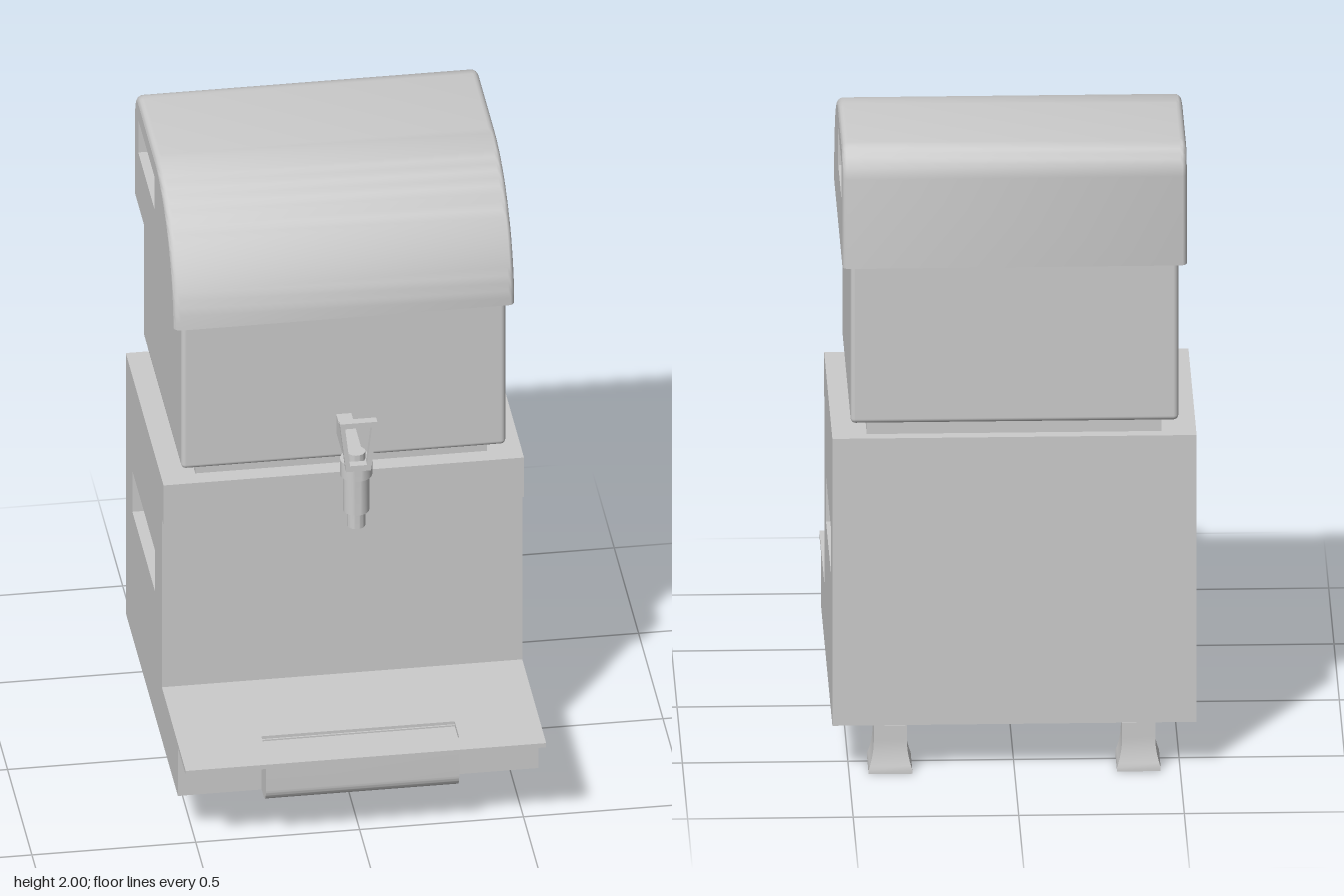
import * as THREE from 'three';
import { toCreasedNormals } from 'three/addons/utils/BufferGeometryUtils.js';
import { RoundedBoxGeometry } from 'three/addons/geometries/RoundedBoxGeometry.js';

const material = new THREE.MeshStandardMaterial({ color: 0xcccccc });

export function createModel() {
  const model = new THREE.Group();

  const add = (name, geometry, x = 0, y = 0, z = 0, parent = model) => {
    const mesh = new THREE.Mesh(geometry, material);
    mesh.name = name;
    mesh.position.set(x, y, z);
    parent.add(mesh);
    return mesh;
  };
  // Box given by its limits on each axis
  const box = (name, x0, x1, y0, y1, z0, z1, parent) =>
    add(name, new THREE.BoxGeometry(x1 - x0, y1 - y0, z1 - z0),
      (x0 + x1) / 2, (y0 + y1) / 2, (z0 + z1) / 2, parent);
  const polygon = (pts) => new THREE.Shape(pts.map(([a, b]) => new THREE.Vector2(a, b)));
  const rect = (a0, a1, b0, b1) => polygon([[a0, b0], [a1, b0], [a1, b1], [a0, b1]]);
  const extrude = (shape, depth) =>
    new THREE.ExtrudeGeometry(shape, { depth, bevelEnabled: false, curveSegments: 10 });
  // Side profile drawn in (z, y), extruded across x and centred
  const across = (shape, width) =>
    extrude(shape, width).rotateY(-Math.PI / 2).translate(width / 2, 0, 0);

  // Cabinet with overhanging top band, front foot and recessed side grips
  const side = polygon([[-0.6, 0.15], [0.47, 0.15], [0.47, 0.325], [0.14, 0.325],
    [0.14, 0.93], [0.175, 0.93], [0.175, 1.07], [-0.6, 1.07]]);
  side.holes.push(rect(-0.465, 0, 0.59, 0.735));
  add('cabinet', across(side, 1.1));
  box('cabinetGripFloor', -0.51, 0.51, 0.59, 0.735, -0.465, 0);

  // Drip tray: slotted plate over a catch box with a rounded lower edge
  const plate = rect(-0.55, 0.55, -0.63, -0.14);
  plate.holes.push(rect(-0.295, 0.295, -0.56, -0.465));
  add('trayPlate', extrude(plate, 0.015).rotateX(-Math.PI / 2), 0, 0.32, 0);
  const catchShape = new THREE.Shape();
  catchShape.moveTo(0.44, 0.152);
  catchShape.lineTo(0.51, 0.152);
  catchShape.absarc(0.513, 0.2, 0.048, -Math.PI / 2, 0, false);
  catchShape.lineTo(0.561, 0.32);
  catchShape.lineTo(0.44, 0.32);
  add('catchBox', toCreasedNormals(across(catchShape, 0.59), 0.6));

  // Four flared feet
  const footGeometry = new THREE.BoxGeometry(2, 0.15, 2, 1, 12, 1);
  const p = footGeometry.attributes.position;
  for (let i = 0; i < p.count; i++) {
    const y = p.getY(i) + 0.075;
    const flare = 0.016 * Math.pow(1 - Math.min(1, Math.max(0, (y - 0.012) / 0.09)), 2);
    p.setXYZ(i, p.getX(i) * (0.05 + flare), y, p.getZ(i) * (0.064 + flare));
  }
  const footSmooth = toCreasedNormals(footGeometry, 0.6);
  for (const x of [-0.375, 0.375])
    for (const z of [0.075, -0.538]) add('foot', footSmooth, x, 0, z);

  // Neck and tank
  box('neck', -0.445, 0.445, 1.06, 1.13, -0.56, 0.12);
  add('tank', new RoundedBoxGeometry(0.99, 0.56, 0.785, 3, 0.015), 0, 1.4, -0.217);

  // Curved lid: profile in (z, y), inset by d for the rounded side edges
  const lidProfile = (d) => {
    const pts = [], n = 24, m = 8;
    for (let i = 0; i <= n; i++) {
      const a = (i / n) * Math.PI / 2;
      pts.push([-0.22 + (0.415 - d) * Math.cos(a), 1.625 + (0.375 - d) * Math.sin(a)]);
    }
    for (let i = 0; i <= m; i++) {
      const a = Math.PI / 2 * (1 + i / m);
      pts.push([-0.54 + (0.09 - d) * Math.cos(a), 1.91 + (0.09 - d) * Math.sin(a)]);
    }
    pts.push([-0.63 + d, 1.625]);
    return pts;
  };
  const radius = 0.02, steps = 4, rings = [];
  for (let i = -steps; i <= steps; i++) {
    const a = (Math.abs(i) / steps) * Math.PI / 2;
    const x = 0.5 + radius * Math.sin(a), d = radius * (1 - Math.cos(a));
    if (i <= 0) rings.push({ x: -x, pts: lidProfile(d) });
    if (i >= 0) rings.push({ x, pts: lidProfile(d) });
  }
  const count = rings[0].pts.length, positions = [], indices = [];
  for (const ring of rings) for (const [z, y] of ring.pts) positions.push(ring.x, y, z);
  for (let i = 0; i < rings.length - 1; i++)
    for (let j = 0; j < count; j++) {
      const k = (j + 1) % count, r0 = i * count, r1 = r0 + count;
      indices.push(r1 + j, r1 + k, r0 + k, r1 + j, r0 + k, r0 + j);
    }
  const shell = new THREE.BufferGeometry();
  shell.setAttribute('position', new THREE.Float32BufferAttribute(positions, 3));
  shell.setIndex(indices);
  const lid = new THREE.Group();
  lid.name = 'lid';
  model.add(lid);
  add('lidShell', toCreasedNormals(shell, 0.7), 0, 0, 0, lid);
  const lidSide = polygon(lidProfile(radius));
  lidSide.holes.push(rect(-0.545, -0.215, 1.81, 1.925));
  add('lidSides', across(lidSide, 1.04), 0, 0, 0, lid);
  box('lidGripFloor', -0.49, 0.49, 1.81, 1.925, -0.545, -0.215, lid);

  // Tap: arm, stacked round body and a tapered loop handle
  const tap = new THREE.Group();
  tap.name = 'tap';
  model.add(tap);
  box('tapArm', -0.023, 0.023, 1.21, 1.275, 0.16, 0.42, tap);
  const profile = [[0, 1.035], [0.028, 1.035], [0.028, 1.09], [0.04, 1.09], [0.04, 1.215],
    [0.049, 1.215], [0.049, 1.27], [0.028, 1.27], [0.028, 1.295], [0, 1.295]];
  const body = new THREE.LatheGeometry(profile.map(([r, y]) => new THREE.Vector2(r, y)), 32);
  add('tapBody', toCreasedNormals(body, 0.6), 0, 0, 0.427, tap);
  const handle = polygon([[-0.038, 1.255], [0.038, 1.255], [0.057, 1.425], [-0.057, 1.425]]);
  handle.holes.push(polygon([[-0.026, 1.275], [0.026, 1.275], [0.041, 1.407], [-0.041, 1.407]]));
  add('tapHandle', extrude(handle, 0.026), 0, 0, 0.454, tap);

  return model;
}
